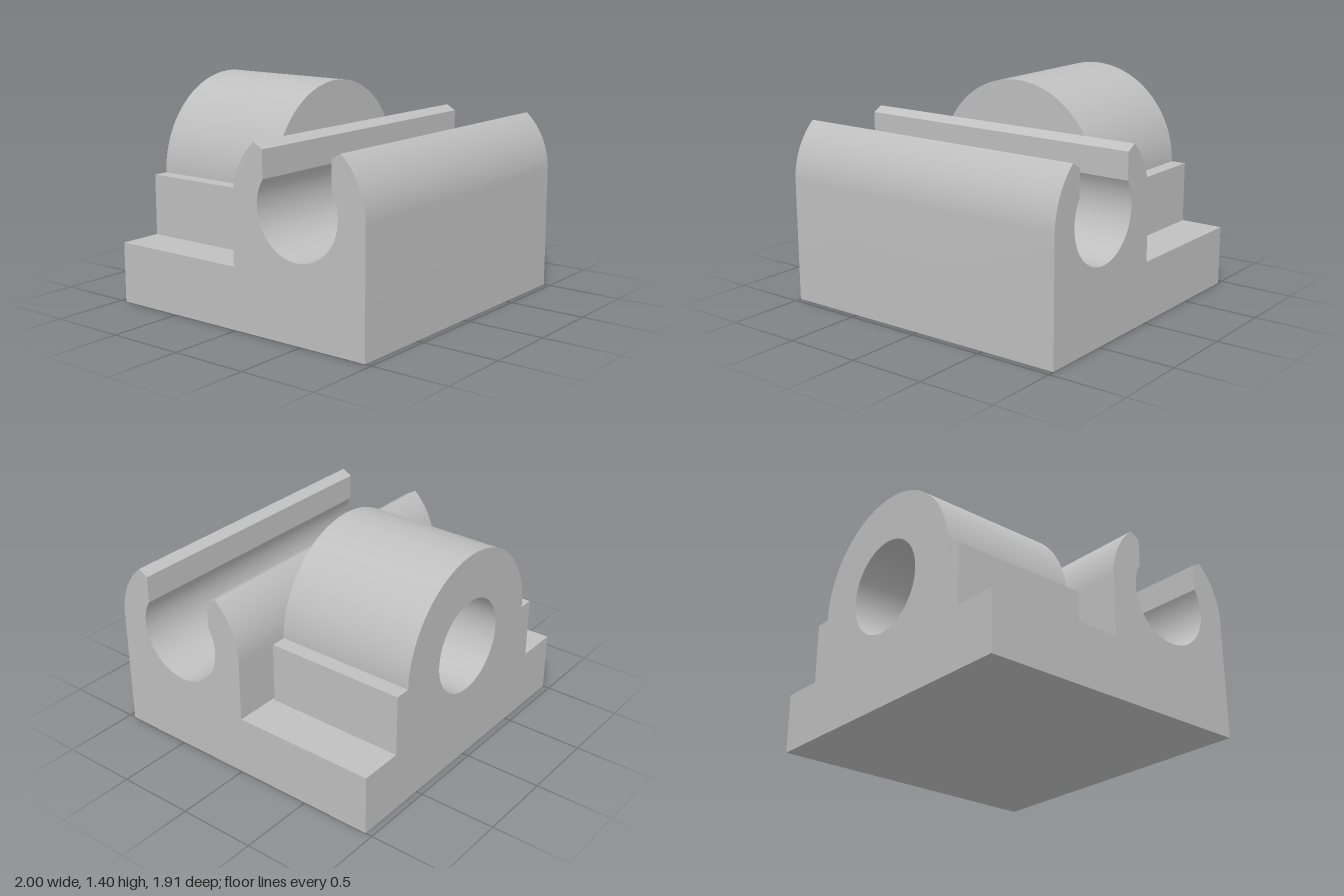
import * as THREE from 'three';
import { toCreasedNormals } from 'three/addons/utils/BufferGeometryUtils.js';

const CZ = 0.473, CY = 0.785;      // centre of the clip channel; the bore shares its height
const OUTER = 0.483, INNER = 0.295; // clip radii
const BORE = 0.305, POCKET_Z = 0.04;
const BACK = -0.955, FRONT = CZ + OUTER, WALL = CZ - OUTER, FLOOR = 0.39;

function arc(radius, from, to, steps) {
  return Array.from({ length: steps + 1 }, (_, i) => {
    const a = from + (to - from) * i / steps;
    return new THREE.Vector2(CZ + radius * Math.cos(a), CY + radius * Math.sin(a));
  });
}

// Side profile in (z, y); the blind bore pocket is h above and below the axis
function sideProfile(h, depth) {
  const P = (z, y) => new THREE.Vector2(z, y);
  const tip = 0.862, mouth = Math.asin(0.157 / INNER);
  const limit = Math.sqrt(OUTER ** 2 - (CZ - POCKET_Z) ** 2);
  const top = Math.min(h, limit);
  return [
    P(BACK, 0), P(FRONT, 0),
    ...arc(OUTER, 0, tip, 20),
    P(CZ + 0.25, 1.115),
    ...arc(INNER, mouth, -Math.PI - mouth, 56),
    P(CZ - 0.25, 1.115),
    ...arc(OUTER, Math.PI - tip, Math.PI - Math.asin(top / OUTER), 20),
    P(depth, CY + top), P(depth, CY - h), P(WALL, CY - h),
    P(WALL, FLOOR), P(BACK, FLOOR),
  ];
}

// Base and clip: side profile lofted along x, with the pocket cut in the middle
function baseAndClip() {
  const slices = [{ x: -1, p: sideProfile(0, WALL) }, { x: -BORE, p: sideProfile(0, WALL) }];
  const n = 40;
  for (let i = 0; i <= n; i++) {
    const a = Math.PI * i / n;
    const h = i % n === 0 ? 0 : BORE * Math.sin(a);
    slices.push({ x: -BORE * Math.cos(a), p: sideProfile(h, POCKET_Z) });
  }
  slices.push({ x: BORE, p: sideProfile(0, WALL) }, { x: 1, p: sideProfile(0, WALL) });

  const pos = [], index = [], count = slices[0].p.length;
  for (const { x, p } of slices) for (const q of p) pos.push(x, q.y, q.x);
  for (let s = 0; s < slices.length - 1; s++) {
    for (let i = 0; i < count; i++) {
      const j = (i + 1) % count;
      const a0 = s * count + i, b0 = s * count + j;
      index.push(a0, a0 + count, b0 + count, a0, b0 + count, b0);
    }
  }
  // End caps
  const last = (slices.length - 1) * count;
  for (const [a, b, c] of THREE.ShapeUtils.triangulateShape(slices[0].p, [])) {
    index.push(a, b, c, last + a, last + c, last + b);
  }
  const g = new THREE.BufferGeometry();
  g.setAttribute('position', new THREE.Float32BufferAttribute(pos, 3));
  g.setIndex(index);
  return toCreasedNormals(g, 0.4);
}

// Bearing block: stepped shoulders under a round barrel with a through bore
function bearingBlock() {
  const s = new THREE.Shape();
  s.moveTo(-0.715, FLOOR);
  s.lineTo(0.715, FLOOR);
  s.lineTo(0.715, CY);
  s.lineTo(0.615, CY);
  s.absarc(0, CY, 0.615, 0, Math.PI, false);
  s.lineTo(-0.715, CY);
  s.closePath();
  const hole = new THREE.Path();
  hole.absarc(0, CY, BORE, 0, Math.PI * 2, true);
  s.holes.push(hole);
  const g = new THREE.ExtrudeGeometry(s, { depth: -0.027 - BACK, bevelEnabled: false, curveSegments: 48 });
  g.translate(0, 0, BACK);
  return toCreasedNormals(g, 0.4);
}

export function createModel() {
  const model = new THREE.Group();
  model.name = 'crossClampBlock';
  const grey = new THREE.MeshStandardMaterial({ color: 0xc0c0c0 });
  grey.name = 'light grey';
  const add = (name, geometry) => {
    const mesh = new THREE.Mesh(geometry, grey);
    mesh.name = name;
    model.add(mesh);
  };
  add('baseAndClip', baseAndClip());
  add('bearingBlock', bearingBlock());
  return model;
}
